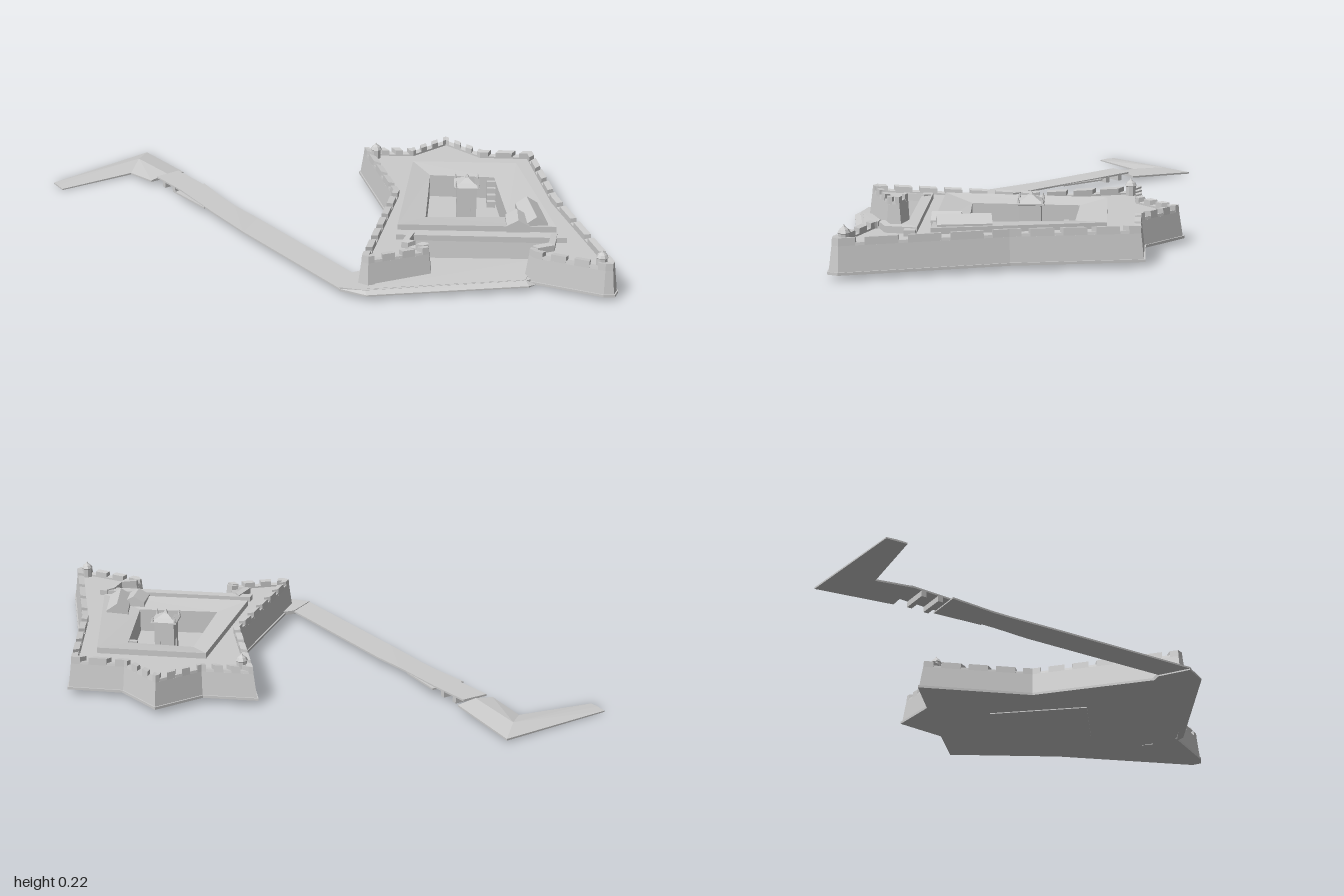
import * as THREE from 'three';
import { ConvexGeometry } from 'three/addons/geometries/ConvexGeometry.js';

const mat = new THREE.MeshStandardMaterial({ color: 0xcccccc, flatShading: true, side: THREE.DoubleSide });
const TURN = -0.4; // heading of the inner buildings

// Ground plan of the fort as [x, z], and embrasures per edge (-1 = no parapet)
const PLAN = [
  [0.28, -0.435], [0.48, -0.35], [0.68, -0.42], [0.77, -0.22], [0.97, -0.13], [0.855, 0.345], [0.785, 0.96],
  [0.755, 0.99], [0.715, 0.975], [0.51, 0.78], [0.5, 0.73], [0.54, 0.7], [0.6, 0.7], [0.625, 0.66],
  [0.17, 0.475], [0.145, 0.505], [0.2, 0.555], [0.175, 0.615], [-0.09, 0.61], [-0.12, 0.57], [0.225, 0.04],
];
const EMBRASURES = [3, 3, 3, 2, 4, 4, 0, 0, 3, 0, 1, 0, 0, -1, 0, 1, 1, 3, 0, 6, 4];
const YARD_OUT = [[0.435, -0.205], [0.835, -0.035], [0.705, 0.595], [0.135, 0.355]];
const YARD_IN = [[0.46, -0.08], [0.7, 0.035], [0.585, 0.41], [0.28, 0.295]];
const DECK = 0.122, TOP = 0.15;

// Mitred inward offset of a plan
function inset(pts, d) {
  const n = pts.length;
  const normal = (a, b) => {
    const dx = b[0] - a[0], dz = b[1] - a[1], l = Math.hypot(dx, dz);
    return [-dz / l, dx / l];
  };
  return pts.map((p, i) => {
    const u = normal(pts[(i + n - 1) % n], p), v = normal(p, pts[(i + 1) % n]);
    const k = d / (1 + u[0] * v[0] + u[1] * v[1]);
    return [p[0] + (u[0] + v[0]) * k, p[1] + (u[1] + v[1]) * k];
  });
}

// Surface through a stack of plans, each {plan, y}
function skin(rings) {
  const pos = [], n = rings[0].plan.length;
  const at = (r, i) => [rings[r].plan[i % n][0], rings[r].y, rings[r].plan[i % n][1]];
  for (let r = 0; r < rings.length - 1; r++) for (let i = 0; i < n; i++) {
    const a = at(r, i), b = at(r, i + 1), c = at(r + 1, i + 1), d = at(r + 1, i);
    pos.push(...a, ...c, ...b, ...a, ...d, ...c);
  }
  const g = new THREE.BufferGeometry();
  g.setAttribute('position', new THREE.Float32BufferAttribute(pos, 3));
  g.computeVertexNormals();
  return g;
}

// Level slab from a plan, with an optional hole
function slab(plan, y0, y1, hole) {
  const v = (p) => new THREE.Vector2(p[0], -p[1]);
  const s = new THREE.Shape(plan.map(v));
  if (hole) s.holes.push(new THREE.Path(hole.map(v)));
  return new THREE.ExtrudeGeometry(s, { depth: y1 - y0, bevelEnabled: false }).rotateX(-Math.PI / 2).translate(0, y0, 0);
}

const hull = (pts) => new ConvexGeometry(pts.map((p) => new THREE.Vector3(...p)));
const box = (w, h, d, x, y, z) => new THREE.BoxGeometry(w, h, d).translate(x, y + h / 2, z);
const mix = (a, b, t) => [a[0] + (b[0] - a[0]) * t, a[1] + (b[1] - a[1]) * t];

export function createModel() {
  const model = new THREE.Group();
  const add = (name, geo, parent = model) => {
    const m = new THREE.Mesh(geo, mat);
    m.name = name;
    parent.add(m);
    return m;
  };
  const group = (name, x = 0, z = 0, turn = 0) => {
    const g = new THREE.Group();
    g.name = name;
    g.position.set(x, 0, z);
    g.rotation.y = turn;
    model.add(g);
    return g;
  };

  // Footing, battered walls and rampart deck
  const wallTop = inset(PLAN, 0.016), parapetOut = inset(PLAN, 0.018), parapetIn = inset(PLAN, 0.042);
  add('footing', slab(PLAN, 0.02, 0.03));
  add('curtainWalls', skin([{ plan: inset(PLAN, 0.005), y: 0.03 }, { plan: wallTop, y: DECK }]));
  add('rampartDeck', slab(wallTop, 0.03, DECK, YARD_IN));

  // Parapet of merlons with lower embrasure sills between them
  const parapet = group('parapet');
  PLAN.forEach((p, i) => {
    const count = EMBRASURES[i], j = (i + 1) % PLAN.length;
    if (count < 0) return;
    const len = Math.hypot(PLAN[j][0] - p[0], PLAN[j][1] - p[1]);
    const half = Math.min(0.017, len * 0.18) / len;
    const cuts = [0];
    for (let k = 0; k < count; k++) cuts.push((k + 0.5) / count - half, (k + 0.5) / count + half);
    cuts.push(1);
    for (let k = 0; k < cuts.length - 1; k++) {
      const y = k % 2 ? 0.132 : TOP, pts = [];
      for (const t of [cuts[k], cuts[k + 1]]) {
        const o = mix(wallTop[i], wallTop[j], t), q = mix(parapetOut[i], parapetOut[j], t), n = mix(parapetIn[i], parapetIn[j], t);
        pts.push([o[0], DECK - 0.001, o[1]], [q[0], y, q[1]], [n[0], y - 0.003, n[1]], [n[0], DECK - 0.001, n[1]]);
      }
      add(k % 2 ? 'embrasureSill' : 'merlon', hull(pts), parapet);
    }
  });

  // Casemate ring with roofs falling to the sunken yard
  add('casemateRing', skin([
    { plan: YARD_OUT, y: DECK - 0.002 }, { plan: YARD_OUT, y: 0.145 }, { plan: YARD_IN, y: 0.128 }, { plan: YARD_IN, y: 0.03 },
  ]));
  add('yardFloor', slab(YARD_IN, 0.016, 0.033));

  // Long traverse behind the front curtain
  add('traverse', slab([[0.115, 0.4], [0.715, 0.655], [0.7, 0.695], [0.095, 0.435]], DECK - 0.002, 0.143));

  // Yard tower: arched base of four piers, upper room, flared roof, corner spikes
  const tower = group('tower', 0.525, 0.145, TURN);
  for (const x of [-1, 1]) for (const z of [-1, 1]) {
    add('towerPier', box(0.024, 0.06, 0.024, x * 0.028, 0.03, z * 0.028), tower);
    add('cornerSpike', new THREE.ConeGeometry(0.007, 0.03, 6).translate(x * 0.045, 0.188, z * 0.045), tower);
  }
  add('towerCore', box(0.06, 0.06, 0.06, 0, 0.03, 0), tower);
  add('towerRoom', box(0.08, 0.08, 0.08, 0, 0.09, 0), tower);
  const sq = (h) => [[-h, -h], [h, -h], [h, h], [-h, h]];
  add('towerRoof', skin([
    { plan: sq(0.03), y: 0.16 }, { plan: sq(0.052), y: 0.168 }, { plan: sq(0.052), y: 0.174 },
    { plan: sq(0.03), y: 0.186 }, { plan: sq(0.008), y: 0.2 }, { plan: sq(0.001), y: 0.217 },
  ]), tower);

  // Gabled houses in the yard corner
  const house = (x, z, w, l, ridge, turn) => {
    const s = new THREE.Shape([[-w / 2, 0.03], [w / 2, 0.03], [w / 2, 0.15], [0, ridge], [-w / 2, 0.15]].map((p) => new THREE.Vector2(...p)));
    add('gabledHouse', new THREE.ExtrudeGeometry(s, { depth: l, bevelEnabled: false }).translate(0, 0, -l / 2), group('house', x, z, turn));
  };
  house(0.665, 0.455, 0.09, 0.2, 0.18, TURN + 0.15);
  house(0.585, 0.495, 0.09, 0.11, 0.175, TURN);

  // Stair block in the far corner of the yard
  const stair = group('yardStair', 0.675, 0.06, TURN);
  for (let k = 0; k < 4; k++) add('step', box(0.035, 0.095 - k * 0.022, 0.018, 0, 0.03, k * 0.018), stair);

  // Domed sentry boxes on two bastion tips
  const sentry = [[0.001, 0.1], [0.021, 0.115], [0.021, 0.158], [0.024, 0.161], [0.017, 0.173], [0.006, 0.181], [0.001, 0.19]];
  for (const [x, z] of [[0.325, -0.35], [0.73, 0.92]]) {
    add('sentryBox', new THREE.LatheGeometry(sentry.map((p) => new THREE.Vector2(...p)), 8), group('sentry', x, z));
  }

  // Forecourt between the front bastions, with a sloped outer edge
  const court = [[-0.195, 0.58], [-0.1, 0.48], [0.2, 0.45], [0.64, 0.64], [0.53, 0.77], [0.49, 0.775], [-0.11, 0.638]];
  add('forecourt', slab(court, 0.02, 0.044 - 0.008));
  add('forecourtRise', hull([
    [-0.1, 0.032, 0.63], [0.49, 0.032, 0.77], [0.6, 0.032, 0.65], [0.17, 0.032, 0.475],
    [0.6, 0.05, 0.65], [0.17, 0.05, 0.475], [-0.1, 0.037, 0.63], [0.49, 0.037, 0.77],
  ]));
  add('forecourtEdge', hull([
    [-0.195, 0.02, 0.58], [-0.115, 0.02, 0.66], [0.49, 0.02, 0.805], [0.53, 0.02, 0.79],
    [-0.195, 0.03, 0.58], [-0.115, 0.026, 0.66], [0.49, 0.026, 0.805], [-0.11, 0.036, 0.635], [0.49, 0.036, 0.773],
  ]));

  // Causeway: stations of left x z, right x z, crown height, edge drop
  const road = [
    [-0.195, 0.58, -0.1, 0.48, 0.033, 0], [-0.38, -0.02, -0.285, -0.13, 0.032, 0], [-0.44, -0.24, -0.335, -0.27, 0.034, 0],
    [-0.505, -0.48, -0.4, -0.51, 0.042, 0], [-0.565, -0.65, -0.46, -0.68, 0.045, 0],
    [-0.59, -0.65, -0.435, -0.69, 0.042, 0.012], [-0.64, -0.8, -0.515, -1, 0.03, 0.018], [-0.955, -0.75, -0.975, -0.83, 0.007, 0.002],
  ];
  const section = ([lx, lz, rx, rz, y, drop]) => [
    [lx, y - drop, lz], [(lx + rx) / 2, y, (lz + rz) / 2], [rx, y - drop, rz],
    [lx, Math.max(0, y - drop - 0.007), lz], [rx, Math.max(0, y - drop - 0.007), rz],
  ];
  const causeway = group('causeway');
  for (let i = 0; i < road.length - 1; i++) if (i !== 4) add('roadSegment', hull([...section(road[i]), ...section(road[i + 1])]), causeway);

  // Flared abutment and bridge piers
  add('abutment', hull([
    ...section([-0.53, -0.485, -0.39, -0.525, 0.037, 0]), ...section([-0.46, -0.3, -0.35, -0.33, 0.033, 0]),
  ]), causeway);
  for (const t of [0.3, 0.7]) {
    add('bridgePier', box(0.11, 0.025, 0.02, 0, 0.014, 0), group('pier', -0.4525 - 0.06 * t, -0.495 - 0.17 * t, 0.29));
  }
  return model;
}
